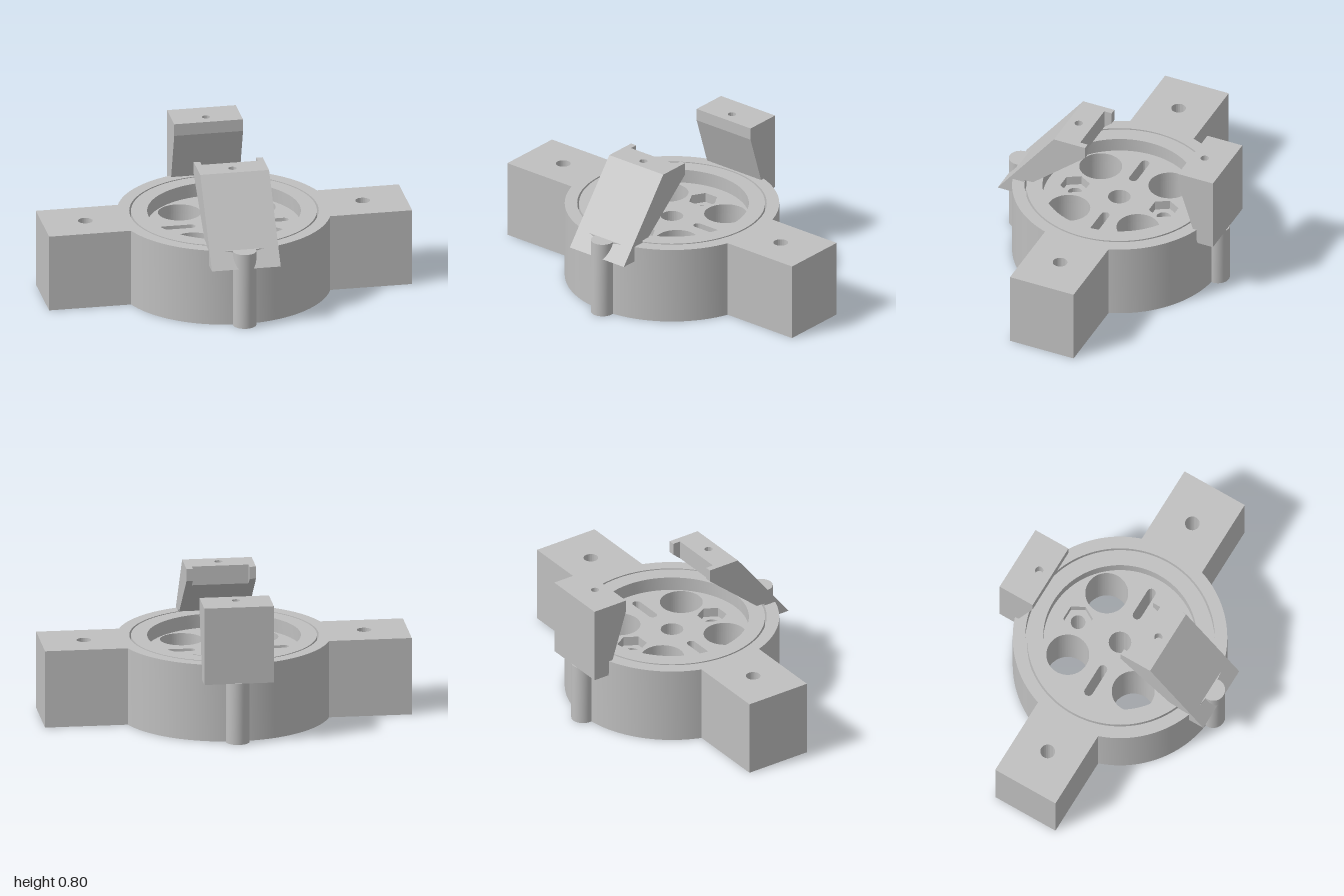
import * as THREE from 'three';
import { toCreasedNormals } from 'three/addons/utils/BufferGeometryUtils.js';

const H = 0.445;       // housing height
const FLOOR = 0.365;   // floor of the round recess
const W = 0.196;       // half width of arms and clips

export function createModel() {
  const model = new THREE.Group();
  model.name = 'discHousing';
  const grey = new THREE.MeshStandardMaterial({ color: 0xbfbfbf });
  grey.name = 'grey';

  const add = (name, geometry) => {
    const mesh = new THREE.Mesh(toCreasedNormals(geometry, 0.5), grey);
    mesh.name = name;
    model.add(mesh);
    return mesh;
  };

  // Plan shapes are drawn in (x, -z) and raised from y0 to y1
  const raise = (shape, y0, y1) =>
    new THREE.ExtrudeGeometry(shape, { depth: y1 - y0, bevelEnabled: false, curveSegments: 64 })
      .rotateX(-Math.PI / 2).translate(0, y0, 0);

  // Side profiles are given as [z, y] and extruded along x
  const across = (profile, x0, x1) =>
    new THREE.ExtrudeGeometry(
      new THREE.Shape(profile.map(([z, y]) => new THREE.Vector2(-z, y))),
      { depth: x1 - x0, bevelEnabled: false }
    ).rotateY(Math.PI / 2).translate(x0, 0, 0);

  const plan = (points) => new THREE.Shape(points.map(([x, z]) => new THREE.Vector2(x, -z)));
  const disc = (r) => new THREE.Shape().absarc(0, 0, r, 0, Math.PI * 2);
  const hole = (shape, x, z, r) =>
    shape.holes.push(new THREE.Path().absarc(x, -z, r, 0, Math.PI * 2, true));

  // Outer housing: a ring with two opposite arms
  const a = Math.asin(W / 0.6);
  const outline = new THREE.Shape();
  outline.moveTo(1.034, -W);
  outline.lineTo(1.034, W);
  outline.absarc(0, 0, 0.6, a, Math.PI - a);
  outline.lineTo(-1.034, W);
  outline.lineTo(-1.034, -W);
  outline.absarc(0, 0, 0.6, Math.PI + a, Math.PI * 2 - a);
  outline.closePath();
  hole(outline, 0, 0, 0.53);
  for (const s of [-1, 1]) hole(outline, s * 0.79, 0, 0.041);
  add('housing', raise(outline, 0, H));

  // Filler that leaves a shallow groove above and below
  const filler = disc(0.531);
  hole(filler, 0, 0, 0.519);
  add('grooveFloor', raise(filler, 0.06, 0.36));

  // Perforated inner disc, with hexagonal nut pockets in its upper layer
  const perforated = (hex) => {
    const shape = disc(0.52);
    hole(shape, 0, 0, 0.063);
    for (const s of [-1, 1]) {
      for (const t of [-1, 1]) hole(shape, s * 0.213, t * 0.213, 0.12);
      const slot = new THREE.Path();
      slot.absarc(s * 0.265 + 0.077, 0, 0.025, Math.PI / 2, -Math.PI / 2, true);
      slot.absarc(s * 0.265 - 0.077, 0, 0.025, -Math.PI / 2, -Math.PI * 1.5, true);
      slot.closePath();
      shape.holes.push(slot);
      if (hex) {
        const pts = [0, 1, 2, 3, 4, 5].map((i) => new THREE.Vector2(
          0.083 * Math.cos(-i * Math.PI / 3), s * 0.273 + 0.083 * Math.sin(-i * Math.PI / 3)));
        shape.holes.push(new THREE.Path(pts));
      } else hole(shape, 0, s * 0.273, 0.041);
    }
    return shape;
  };
  add('innerDisc', raise(perforated(false), 0, 0.31));
  add('nutPocketLayer', raise(perforated(true), 0.31, FLOOR));

  // Raised rim around the recess
  const rim = disc(0.52);
  hole(rim, 0, 0, 0.43);
  add('innerRim', raise(rim, FLOOR, H));

  // Screw columns under the clips
  const column = (name, z, top) =>
    add(name, new THREE.CylinderGeometry(0.066, 0.066, top, 40).translate(0, top / 2, z));
  column('frontColumn', 0.608, H);
  column('rearColumn', -0.608, 0.356);

  // Front clip: leaning block with a drilled head and two small prongs
  const P = 0.16;
  const head = plan([[-W, 0.313], [W, 0.313], [W, 0.121], [P, 0.121], [P, 0.167],
    [-P, 0.167], [-P, 0.121], [-W, 0.121]]);
  hole(head, 0, 0.25, 0.023);
  const headGeometry = raise(head, 0.73, 0.8);
  const pos = headGeometry.attributes.position;
  for (let i = 0; i < pos.count; i++) {
    // lean the outer face
    if (pos.getY(i) < 0.76 && pos.getZ(i) > 0.3) pos.setZ(i, 0.3675);
  }
  headGeometry.computeVertexNormals();
  add('frontClipHead', headGeometry);
  add('frontClipBody', across([[0.3675, 0.73], [0.659, 0.355], [0.52, 0.355], [0.493, 0.458],
    [0.442, 0.46], [0.167, 0.691], [0.167, 0.73]], -W, W));
  for (const [x0, x1] of [[-W, -P], [P, W]]) {
    add('frontClipProng', across([[0.121, 0.73], [0.167, 0.73], [0.167, 0.691]], x0, x1));
  }

  // Rear clip: upright outer face and an inner face sloping outwards below
  const rearHead = plan([[-W, -0.452], [W, -0.452], [W, -0.667], [-W, -0.667]]);
  hole(rearHead, 0, -0.526, 0.023);
  add('rearClipHead', raise(rearHead, 0.73, 0.8));
  add('rearClipBody', across([[-0.452, 0.73], [-0.573, 0.355], [-0.667, 0.355], [-0.667, 0.73]], -W, W));

  // Turn the whole assembly to its resting angle
  model.rotation.y = THREE.MathUtils.degToRad(29.2);
  const root = new THREE.Group();
  root.name = 'model';
  root.add(model);
  return root;
}
